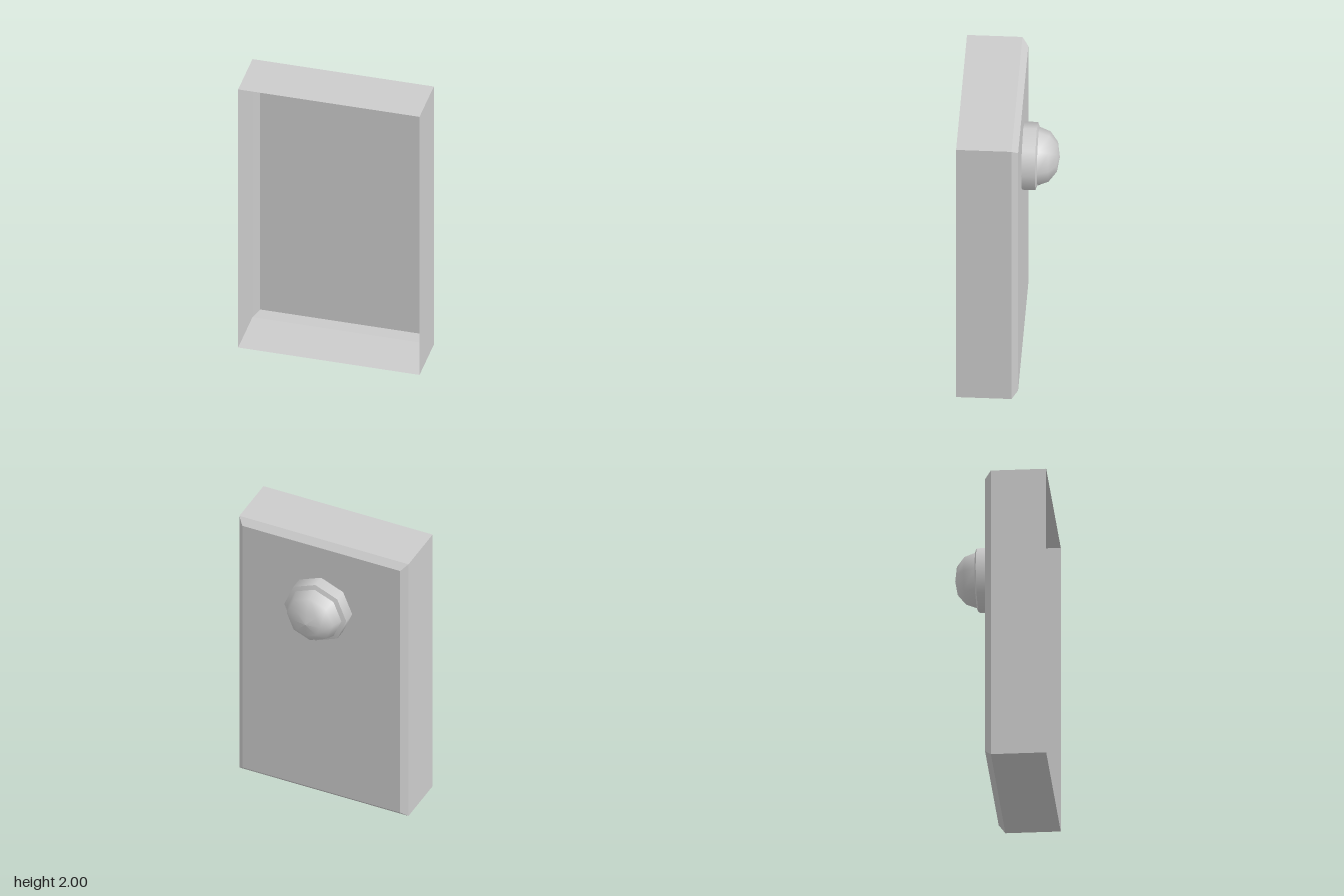
import * as THREE from 'three';

// Rectangular ring of four corners, counter-clockwise seen from the front
function ring(inset, z) {
  const x = 0.6 - inset, lo = inset, hi = 2 - inset;
  return [[-x, lo, z], [x, lo, z], [x, hi, z], [-x, hi, z]];
}

// Thin tray, open at the front, with a chamfered back
function trayGeometry() {
  const rings = [ring(0, 0.315), ring(0, -0.04), ring(0.04, -0.08)];
  const pos = [];
  const quad = (a, b, c, d) => pos.push(...a, ...b, ...c, ...a, ...c, ...d);
  for (let r = 0; r < rings.length - 1; r++) {
    const front = rings[r], back = rings[r + 1];
    for (let i = 0; i < 4; i++) {
      const j = (i + 1) % 4;
      quad(front[i], back[i], back[j], front[j]);
    }
  }
  const [a, b, c, d] = rings[2];
  quad(a, d, c, b); // back panel
  const g = new THREE.BufferGeometry();
  g.setAttribute('position', new THREE.Float32BufferAttribute(pos, 3));
  g.computeVertexNormals();
  return g;
}

export function createModel() {
  const model = new THREE.Group();
  const flat = new THREE.MeshStandardMaterial({ color: 0xcccccc, flatShading: true, side: THREE.DoubleSide });
  const smooth = new THREE.MeshStandardMaterial({ color: 0xcccccc, side: THREE.DoubleSide });

  const tray = new THREE.Mesh(trayGeometry(), flat);
  tray.name = 'tray';
  model.add(tray);

  // Eight-sided knob on the back; profiles are [radius, distance behind z = 0]
  const knob = new THREE.Group();
  knob.name = 'knob';
  knob.position.y = 1.507;
  knob.rotation.x = -Math.PI / 2;
  const turned = (name, profile) => {
    const points = profile.map(([r, y]) => new THREE.Vector2(r, y));
    const mesh = new THREE.Mesh(new THREE.LatheGeometry(points, 8), smooth);
    mesh.name = name;
    knob.add(mesh);
  };
  turned('knobCollar', [[0.22, 0.08], [0.22, 0.167]]);
  turned('knobRim', [[0.22, 0.167], [0.19, 0.178]]);
  turned('knobDome', [[0.19, 0.178], [0.163, 0.248], [0.097, 0.299], [0, 0.315]]);
  model.add(knob);

  return model;
}
